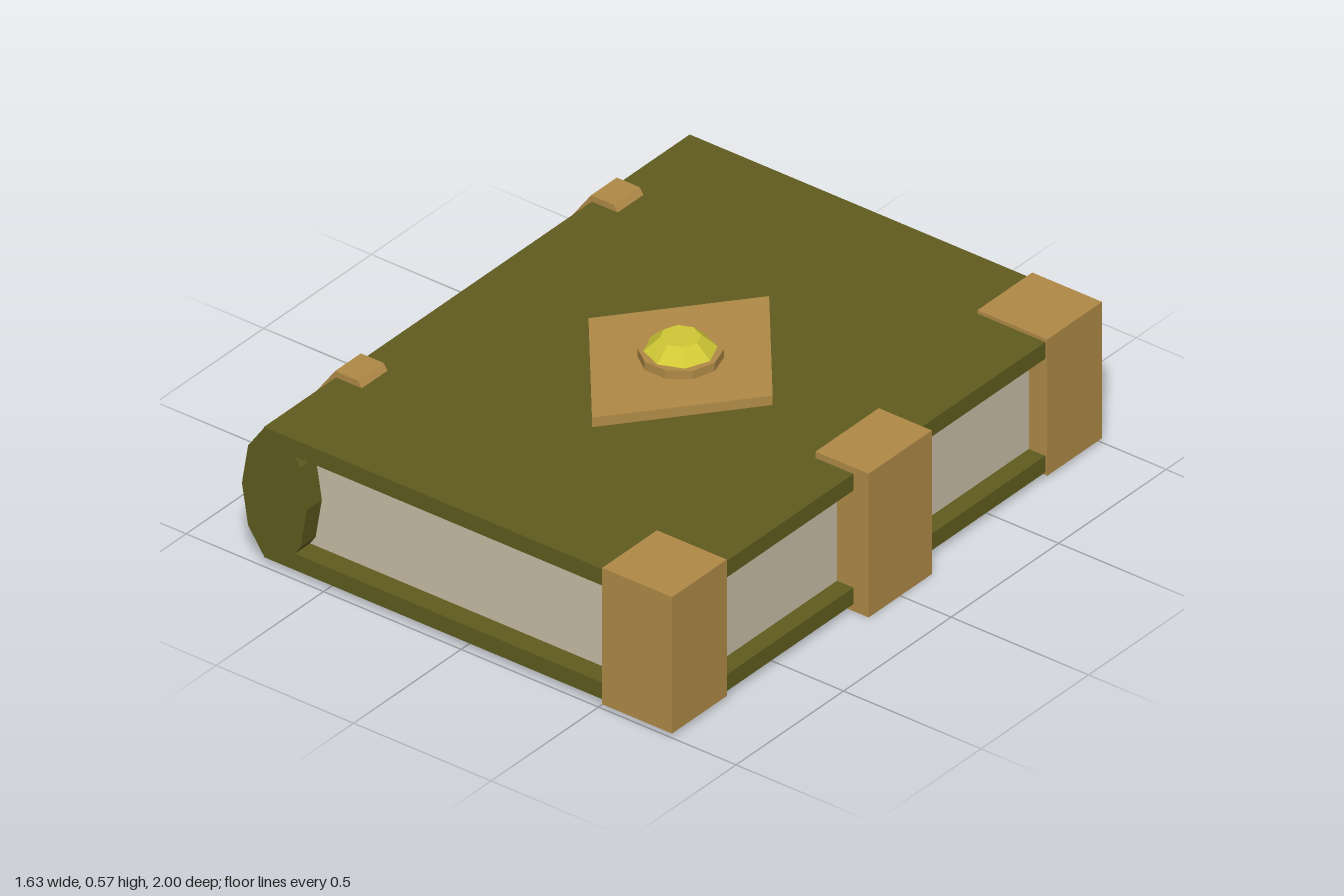
import * as THREE from 'three';

const mat = (color) => new THREE.MeshStandardMaterial({ color, flatShading: true });

export function createModel() {
  const book = new THREE.Group();
  const leather = mat(0x605c1f), brass = mat(0xb08a47), paper = mat(0xc9bfa7), gold = mat(0xd0c835);

  const add = (name, geometry, material) => {
    const mesh = new THREE.Mesh(geometry, material);
    mesh.name = name;
    book.add(mesh);
    return mesh;
  };
  // Box given by its limits on each axis
  const box = (name, material, [x0, x1], [y0, y1], [z0, z1]) =>
    add(name, new THREE.BoxGeometry(x1 - x0, y1 - y0, z1 - z0), material)
      .position.set((x0 + x1) / 2, (y0 + y1) / 2, (z0 + z1) / 2);
  // Ten-sided oval prism lying along z, with corners on the x axis
  const ovalPrism = (name, material, rx, ry, length, z) => {
    const g = new THREE.CylinderGeometry(1, 1, length, 10);
    g.rotateY(Math.PI / 2).rotateX(Math.PI / 2).scale(rx, ry, 1);
    add(name, g, material).position.set(-0.687, 0.245, z);
  };

  // Cover boards, page block and spine
  box('topCover', leather, [-0.725, 0.76], [0.41, 0.466], [-0.99, 0.99]);
  box('bottomCover', leather, [-0.725, 0.76], [0.024, 0.08], [-0.99, 0.99]);
  box('pages', paper, [-0.66, 0.7], [0.078, 0.412], [-0.92, 0.92]);
  ovalPrism('spine', leather, 0.118, 0.231, 1.98, 0);

  // Spine bands and corner guards, mirrored front to back
  for (const s of [1, -1]) {
    ovalPrism('spineBand', brass, 0.133, 0.254, 0.12, s * 0.595);
    box('cornerGuard', brass, [0.513, 0.767], [0.015, 0.478], s > 0 ? [0.745, 1] : [-1, -0.745]);
  }

  // Clasp on the fore edge
  box('clasp', brass, [0.622, 0.815], [0, 0.488], [-0.147, 0.147]);

  // Diamond plate with the gem in its setting
  const cx = 0.016;
  const plate = new THREE.CylinderGeometry(1, 1, 0.034, 4).scale(0.335, 1, 0.412);
  add('diamondPlate', plate, brass).position.set(cx, 0.481, 0);
  const setting = new THREE.CylinderGeometry(0.124, 0.124, 0.03, 10).rotateY(Math.PI / 2);
  add('gemSetting', setting, brass).position.set(cx, 0.511, 0);
  const gem = new THREE.CylinderGeometry(0.06, 0.108, 0.043, 8);
  add('gem', gem, gold).position.set(cx, 0.547, 0);

  return book;
}
